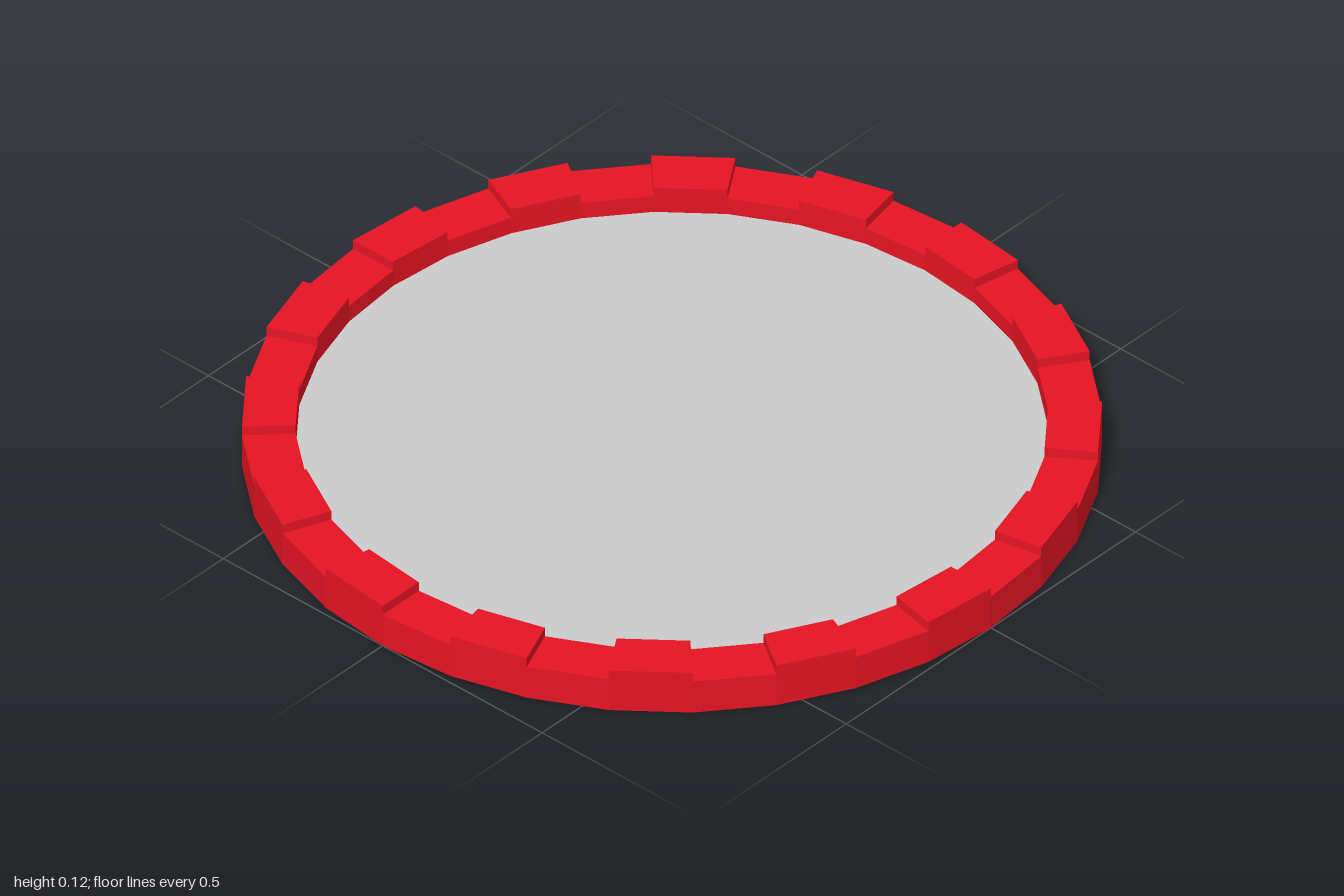
import * as THREE from 'three';

const SEGMENTS = 32;
const OUTER = 1, INNER = 0.875;
const LOW = 0.09, HIGH = 0.115, FLOOR = 0.045;

// Rim of flat segments whose tops alternate between low and raised
function notchedRim() {
  const positions = [];
  const quad = (a, b, c, d) => [a, b, c, a, c, d].forEach(p => positions.push(...p));
  const step = (Math.PI * 2) / SEGMENTS;

  for (let i = 0; i < SEGMENTS; i++) {
    const raised = i % 2 === 1;
    const top = raised ? HIGH : LOW;
    const a0 = i * step, a1 = (i + 1) * step;
    const pt = (r, a, y) => [r * Math.sin(a), y, r * Math.cos(a)];

    // outer wall, inner wall, top, underside
    quad(pt(OUTER, a0, 0), pt(OUTER, a1, 0), pt(OUTER, a1, top), pt(OUTER, a0, top));
    quad(pt(INNER, a1, 0), pt(INNER, a0, 0), pt(INNER, a0, top), pt(INNER, a1, top));
    quad(pt(OUTER, a0, top), pt(OUTER, a1, top), pt(INNER, a1, top), pt(INNER, a0, top));
    quad(pt(INNER, a0, 0), pt(INNER, a1, 0), pt(OUTER, a1, 0), pt(OUTER, a0, 0));

    // end walls of a raised segment
    if (raised) {
      quad(pt(INNER, a0, LOW), pt(OUTER, a0, LOW), pt(OUTER, a0, HIGH), pt(INNER, a0, HIGH));
      quad(pt(OUTER, a1, LOW), pt(INNER, a1, LOW), pt(INNER, a1, HIGH), pt(OUTER, a1, HIGH));
    }
  }

  const geometry = new THREE.BufferGeometry();
  geometry.setAttribute('position', new THREE.Float32BufferAttribute(positions, 3));
  geometry.computeVertexNormals();
  return geometry;
}

export function createModel() {
  const model = new THREE.Group();
  model.name = 'notchedDish';

  const rim = new THREE.Mesh(
    notchedRim(),
    new THREE.MeshStandardMaterial({ color: 0xe61423, flatShading: true })
  );
  rim.name = 'notchedRim';
  model.add(rim);

  // Thin sheet spanning the inside of the rim
  const floor = new THREE.Mesh(
    new THREE.CircleGeometry(INNER, SEGMENTS).rotateX(-Math.PI / 2),
    new THREE.MeshStandardMaterial({ color: 0xcccccc, side: THREE.DoubleSide })
  );
  floor.name = 'floorDisc';
  floor.position.y = FLOOR;
  model.add(floor);

  return model;
}
